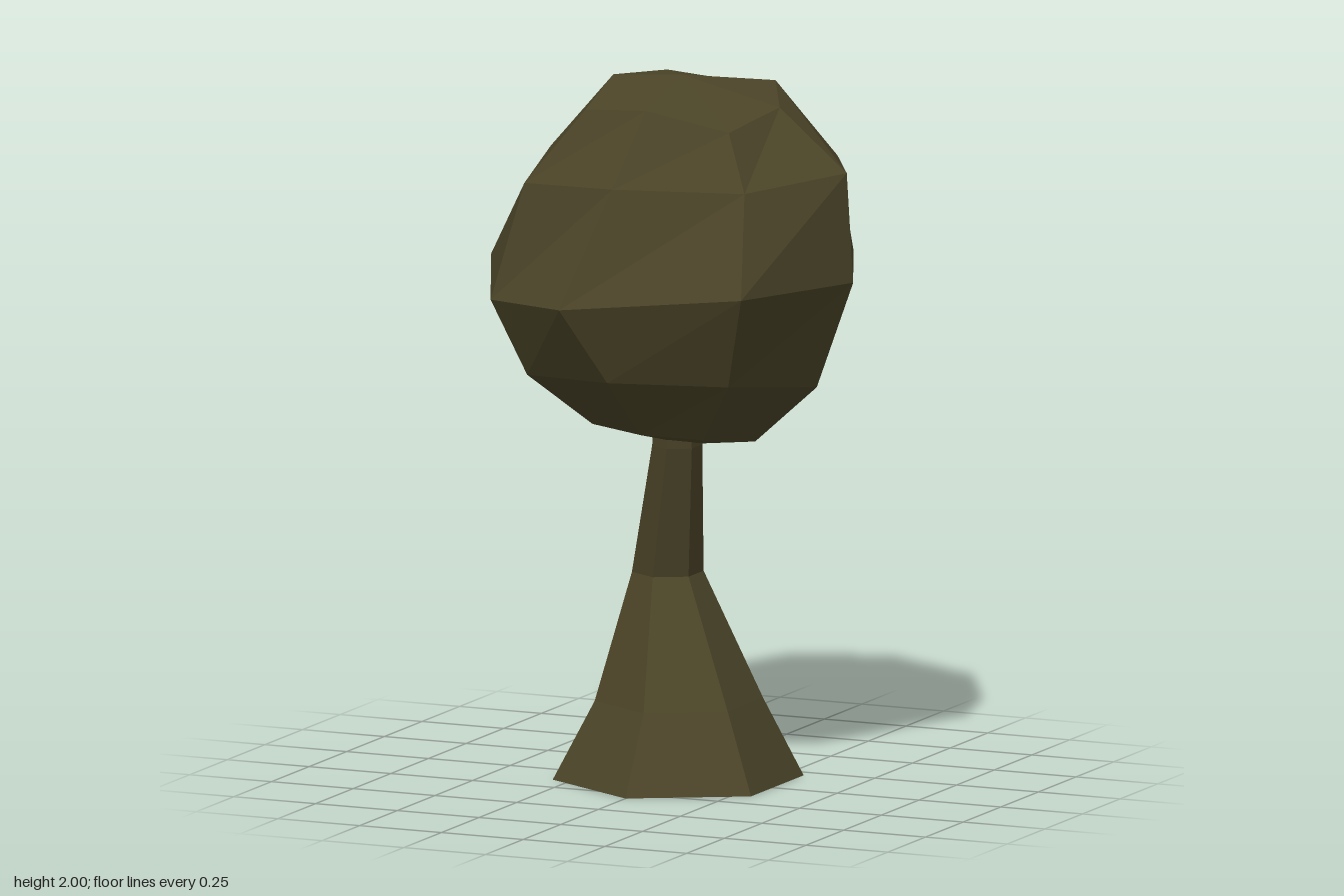
import * as THREE from 'three';

const olive = new THREE.MeshStandardMaterial({ color: 0x4b4428, flatShading: true });
olive.name = 'dark olive';

// Skin a stack of rings (bottom to top) and close both ends with a fan to a point
function loft(name, rings, bottom, top) {
  const pos = [];
  const tri = (...pts) => pts.forEach((p) => pos.push(...p));
  const n = rings[0].length;
  const last = rings[rings.length - 1];
  for (let i = 0; i < n; i++) {
    const j = (i + 1) % n;
    tri(rings[0][j], rings[0][i], bottom);
    for (let r = 0; r < rings.length - 1; r++) {
      const lo = rings[r], hi = rings[r + 1];
      tri(lo[i], lo[j], hi[j]);
      tri(lo[i], hi[j], hi[i]);
    }
    tri(last[i], last[j], top);
  }
  const geo = new THREE.BufferGeometry();
  geo.setAttribute('position', new THREE.Float32BufferAttribute(pos, 3));
  geo.computeVertexNormals();
  const mesh = new THREE.Mesh(geo, olive);
  mesh.name = name;
  return mesh;
}

// Six-sided trunk: flared foot, narrow bent neck
function makeTrunk() {
  const sections = [
    // x, y, z of centre, radius
    [0, 0, -0.03, 0.35],
    [0, 0.22, -0.035, 0.235],
    [-0.055, 0.57, -0.08, 0.1],
    [0.02, 0.95, 0.02, 0.07],
    [0.025, 1.02, 0.03, 0.065],
  ];
  const rings = sections.map(([x, y, z, r]) =>
    Array.from({ length: 6 }, (_, k) => {
      const a = (k * Math.PI) / 3;
      return [x + r * Math.sin(a), y, z + r * Math.cos(a)];
    }));
  return loft('trunk', rings, [0, 0, -0.03], [0.025, 1.02, 0.03]);
}

// Lumpy eight-sided crown: each ring runs left edge, front, right edge, back
function makeCrown() {
  const underside = [
    [-0.24, 1.01, 0], [-0.17, 1.02, 0.17], [0, 1.01, 0.22], [0.17, 1.0, 0.17],
    [0.24, 0.97, -0.02], [0.17, 0.99, -0.2], [0, 0.99, -0.26], [-0.17, 1.01, -0.19],
  ];
  const lower = [
    [-0.42, 1.2, 0], [-0.31, 1.17, 0.3], [-0.01, 1.19, 0.42], [0.3, 1.18, 0.29],
    [0.41, 1.13, -0.06], [0.3, 1.17, -0.35], [0, 1.19, -0.46], [-0.3, 1.2, -0.34],
  ];
  const middle = [
    [-0.54, 1.45, 0.04], [-0.385, 1.39, 0.38], [-0.1, 1.41, 0.545], [0.39, 1.45, 0.4],
    [0.535, 1.44, -0.03], [0.37, 1.46, -0.39], [0.02, 1.475, -0.55], [-0.35, 1.45, -0.49],
  ];
  const upper = [
    [-0.38, 1.76, -0.01], [-0.3, 1.72, 0.34], [0.01, 1.74, 0.43], [0.35, 1.73, 0.29],
    [0.52, 1.75, -0.02], [0.34, 1.73, -0.35], [0.02, 1.75, -0.5], [-0.25, 1.75, -0.41],
  ];
  const shoulder = [
    [-0.18, 1.98, 0.01], [-0.14, 1.93, 0.28], [0.055, 1.945, 0.305], [0.27, 1.885, 0.22],
    [0.315, 1.92, -0.02], [0.21, 1.955, -0.22], [0.02, 1.93, -0.3], [-0.13, 1.955, -0.24],
  ];
  return loft('crown', [underside, lower, middle, upper, shoulder],
    [0.03, 0.945, -0.03], [0.04, 2, 0.03]);
}

export function createModel() {
  const tree = new THREE.Group();
  tree.name = 'tree';
  tree.add(makeTrunk(), makeCrown());
  return tree;
}
